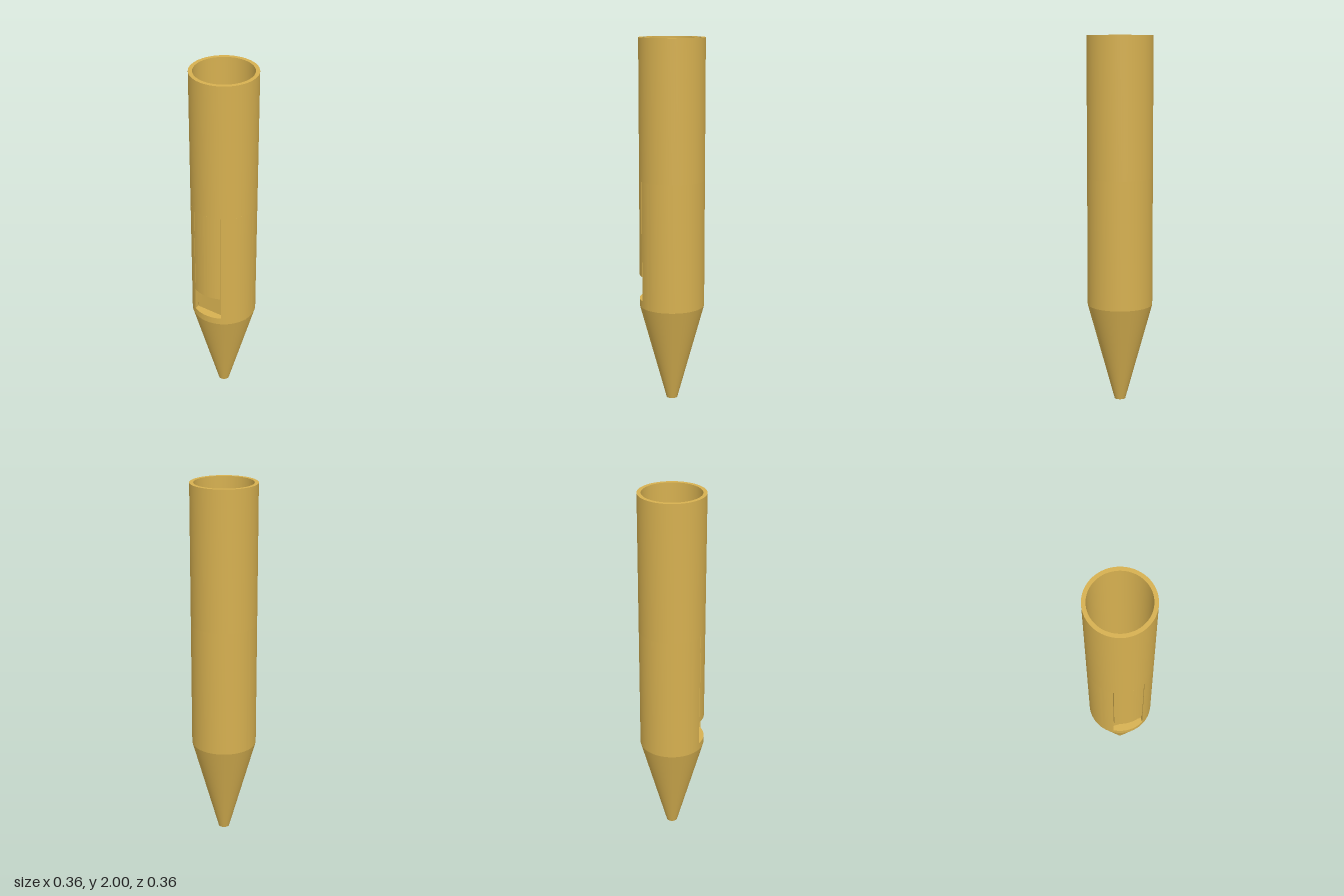
import * as THREE from 'three';
import { toCreasedNormals } from 'three/addons/utils/BufferGeometryUtils.js';

const OUTER = 0.178, INNER = 0.157;
const SHOULDER = 0.54, SILL = 0.58, FLAP_BOTTOM = 0.715, SLIT_TOP = 1.24, TOP = 2;
const WINDOW = 0.086, SLIT = 0.004, FRONT = -Math.PI / 2;

// Upright wall from a plan outline (plan -y is the front)
function upright(shape, y0, y1) {
  const geo = new THREE.ExtrudeGeometry(shape, { depth: y1 - y0, bevelEnabled: false, curveSegments: 40 });
  geo.rotateX(-Math.PI / 2).translate(0, y0, 0);
  return toCreasedNormals(geo, 0.6);
}

// Plan of the tube wall lying within |x| < half at the front, or all the rest of it
function wallPlan(half, rest) {
  const a = Math.asin(half / OUTER), b = Math.asin(half / INNER);
  const shape = new THREE.Shape();
  if (rest) {
    shape.absarc(0, 0, OUTER, FRONT + a, FRONT + 2 * Math.PI - a, false);
    shape.absarc(0, 0, INNER, FRONT + 2 * Math.PI - b, FRONT + b, true);
  } else {
    shape.absarc(0, 0, OUTER, FRONT - a, FRONT + a, false);
    shape.absarc(0, 0, INNER, FRONT + b, FRONT - b, true);
  }
  shape.closePath();
  return shape;
}

export function createModel() {
  const model = new THREE.Group();
  model.name = 'penBody';
  const gold = new THREE.MeshStandardMaterial({ color: 0xd6b050 });
  gold.name = 'gold';
  const add = (name, geo) => {
    const mesh = new THREE.Mesh(geo, gold);
    mesh.name = name;
    model.add(mesh);
    return mesh;
  };

  // Tapered tip with a small blunt end
  add('tip', new THREE.CylinderGeometry(OUTER, 0.03, SHOULDER, 80)).position.y = SHOULDER / 2;

  // Closed upper tube
  const ring = new THREE.Shape().absarc(0, 0, OUTER, 0, Math.PI * 2, false);
  ring.holes.push(new THREE.Path().absarc(0, 0, INNER, 0, Math.PI * 2, true));
  add('upperTube', upright(ring, SLIT_TOP, TOP));

  // Lower tube, open at the front for the window and flap
  add('lowerTube', upright(wallPlan(WINDOW, true), SHOULDER, SLIT_TOP));
  add('windowSill', upright(wallPlan(WINDOW, false), SHOULDER, SILL));
  add('springFlap', upright(wallPlan(WINDOW - SLIT, false), FLAP_BOTTOM, SLIT_TOP));

  // Floor level with the window sill
  add('floor', new THREE.CylinderGeometry(INNER, INNER, SILL - SHOULDER, 80)).position.y = (SHOULDER + SILL) / 2;

  // Domed core inside the tube, cut flat behind the flap
  const r = INNER - 0.0008, side = 1.18, rise = 0.07;
  const profile = [new THREE.Vector2(0, SILL), new THREE.Vector2(r, SILL)];
  for (let i = 0; i <= 12; i++) {
    const t = i / 12;
    profile.push(new THREE.Vector2(r * (1 - t), side + rise * (1 - (1 - t) ** 2)));
  }
  const core = new THREE.LatheGeometry(profile, 96);
  const pos = core.attributes.position;
  for (let i = 0; i < pos.count; i++) pos.setZ(i, Math.min(pos.getZ(i), 0.13));
  add('core', toCreasedNormals(core, 0.5));

  return model;
}
